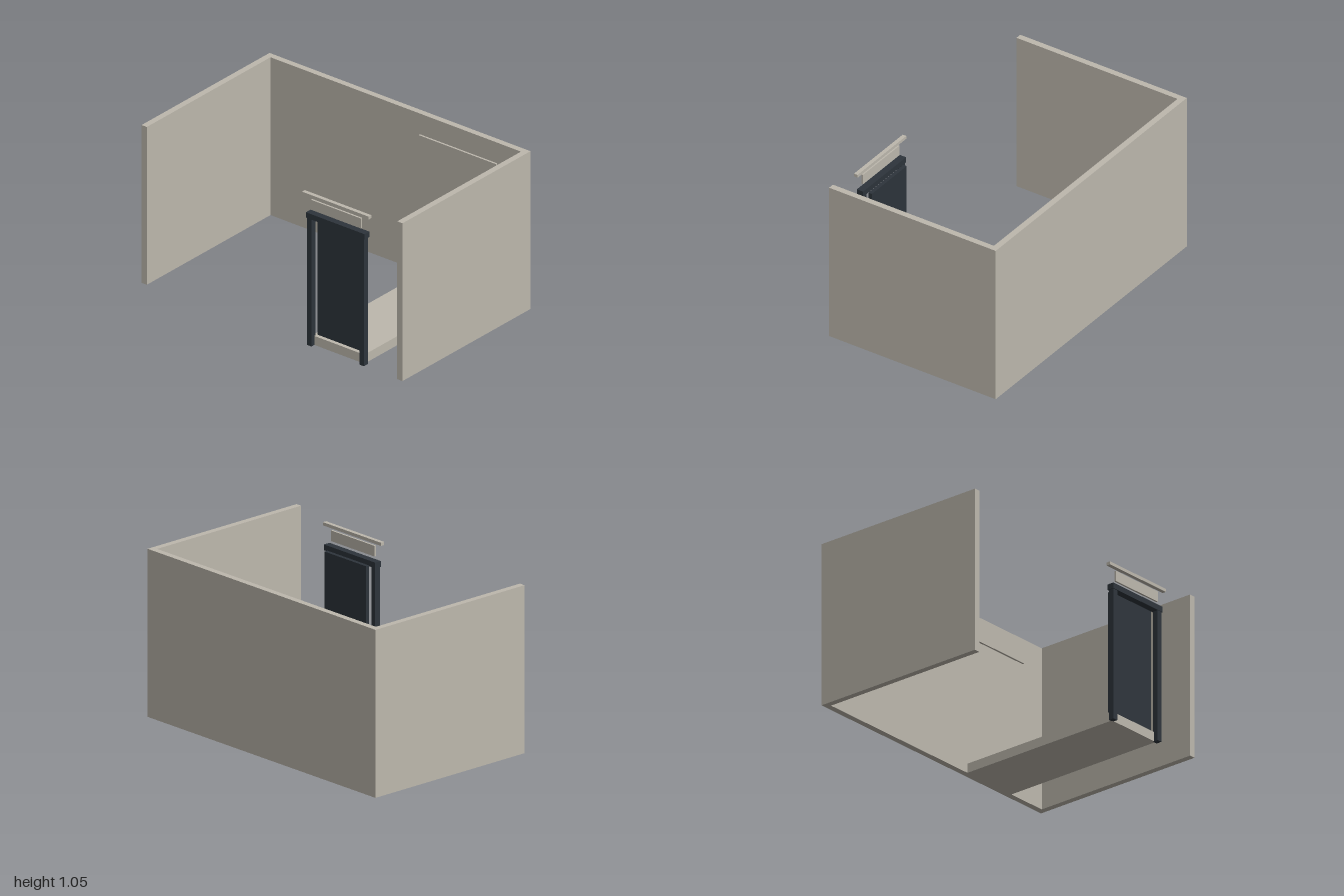
import * as THREE from 'three';

export function createModel() {
  const model = new THREE.Group();
  const stone = new THREE.MeshStandardMaterial({ color: 0xbdb8ad });
  stone.name = 'warm grey stone';
  const slate = new THREE.MeshStandardMaterial({ color: 0x2d343b });
  slate.name = 'dark slate';

  // Box given by its extents on each axis
  const box = (name, material, [x0, x1], [y0, y1], [z0, z1], parent = model) => {
    const mesh = new THREE.Mesh(new THREE.BoxGeometry(x1 - x0, y1 - y0, z1 - z0), material);
    mesh.position.set((x0 + x1) / 2, (y0 + y1) / 2, (z0 + z1) / 2);
    mesh.name = name;
    parent.add(mesh);
  };

  // Three walls, open at the front, from one U-shaped plan
  const plan = new THREE.Shape([
    [-1, -0.6], [-0.96, -0.6], [-0.96, 0.56], [0.96, 0.56],
    [0.96, -0.6], [1, -0.6], [1, 0.6], [-1, 0.6],
  ].map(([x, y]) => new THREE.Vector2(x, y)));
  const wallGeometry = new THREE.ExtrudeGeometry(plan, { depth: 1.055, bevelEnabled: false });
  wallGeometry.rotateX(-Math.PI / 2);
  const walls = new THREE.Mesh(wallGeometry, stone);
  walls.name = 'walls';
  model.add(walls);

  // Raised walkway and the ledge on the back wall
  box('walkway', stone, [0.283, 0.683], [0, 0.06], [-0.56, 0.57]);
  box('backLedge', stone, [0.19, 0.782], [0.886, 0.92], [-0.555, -0.542]);

  // Doorway
  const door = new THREE.Group();
  door.name = 'doorway';
  model.add(door);
  box('leftPost', slate, [0.668, 0.702], [0, 0.855], [0.56, 0.597], door);
  box('rightPost', slate, [0.266, 0.3], [0, 0.855], [0.56, 0.597], door);
  box('lintel', slate, [0.26, 0.71], [0.85, 0.886], [0.555, 0.6], door);
  box('doorPanel', slate, [0.303, 0.668], [0.06, 0.86], [0.521, 0.545], door);

  // Signboard and cornice above the door
  box('signboard', stone, [0.293, 0.675], [0.91, 0.977], [0.58, 0.592]);
  box('cornice', stone, [0.23, 0.74], [0.994, 1.014], [0.574, 0.6]);

  return model;
}
